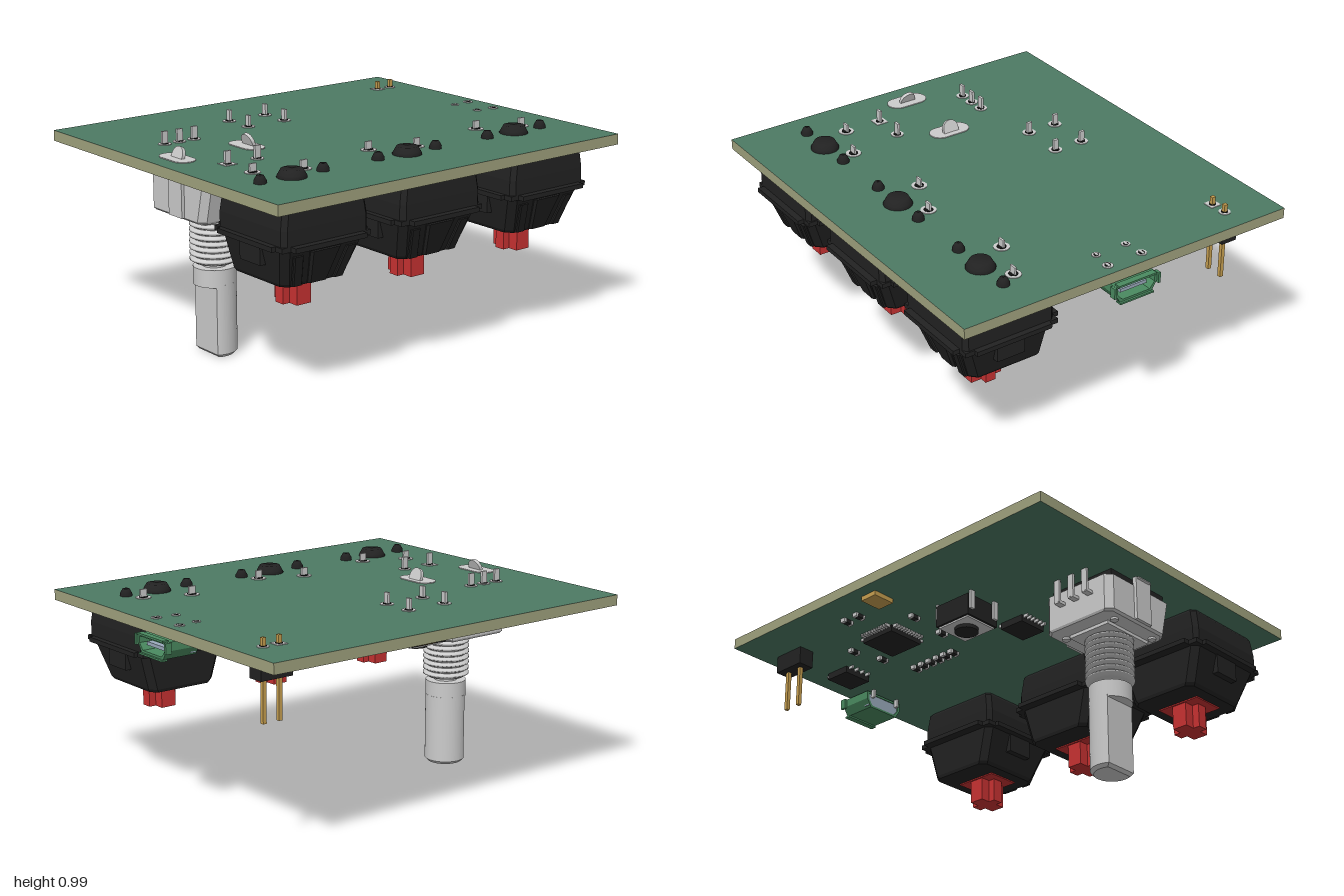
import * as THREE from 'three';

const mat = (color, opts = {}) => new THREE.MeshStandardMaterial({ color, ...opts });
const GREY = mat(0xcccccc), BLACK = mat(0x222222), RED = mat(0xc83232), GOLD = mat(0xc8a050);
const GREEN = mat(0x4d7a64), EDGE = mat(0xa0a27e), SHELL = mat(0x4a8a60), BLUE = mat(0x9aaabb), DARK = mat(0x111111);
const FLAT_BLACK = mat(0x222222, { flatShading: true });
const TOP = 0.93, UNDER = 0.88; // faces of the board

export function createModel() {
  const root = new THREE.Group();

  const add = (parent, name, geo, material, x = 0, y = 0, z = 0) => {
    const m = new THREE.Mesh(geo, material);
    m.name = name;
    m.position.set(x, y, z);
    parent.add(m);
    return m;
  };
  const group = (name, x = 0, z = 0) => {
    const g = new THREE.Group();
    g.name = name;
    g.position.set(x, 0, z);
    root.add(g);
    return g;
  };
  // box given by its centre in x, z and its range in y
  const box = (p, name, m, x, z, w, d, y0, y1) =>
    add(p, name, new THREE.BoxGeometry(w, y1 - y0, d), m, x, (y0 + y1) / 2, z);
  const cyl = (p, name, m, x, z, r, y0, y1, rTop = r, n = 24) =>
    add(p, name, new THREE.CylinderGeometry(rTop, r, y1 - y0, n), m, x, (y0 + y1) / 2, z);
  const lathe = (p, name, m, pts, n = 32) =>
    add(p, name, new THREE.LatheGeometry(pts.map(a => new THREE.Vector2(...a)), n), m);

  // loft of rectangles with cut corners: [y, x0, x1, z0, z1, cut], bottom to top
  const loft = (sections) => {
    const pos = [], idx = [];
    for (const [y, a, b, c, d, k] of sections)
      for (const [x, z] of [[b, d - k], [b, c + k], [b - k, c], [a + k, c], [a, c + k], [a, d - k], [a + k, d], [b - k, d]])
        pos.push(x, y, z);
    const last = (sections.length - 1) * 8;
    for (let s = 0; s < last; s += 8)
      for (let i = 0; i < 8; i++) {
        const j = (i + 1) % 8;
        idx.push(s + i, s + j, s + 8 + j, s + i, s + 8 + j, s + 8 + i);
      }
    for (let i = 1; i < 7; i++) idx.push(0, i + 1, i, last, last + i, last + i + 1);
    const g = new THREE.BufferGeometry();
    g.setAttribute('position', new THREE.Float32BufferAttribute(pos, 3));
    g.setIndex(idx);
    g.computeVertexNormals();
    return g;
  };

  // solder ring on the top face with a pin through it
  const joint = (p, x, z, r, pinW, pinD, y0, y1, m = GREY, square = false) => {
    if (square) box(p, 'solderPad', GREY, x, z, r * 2, r * 2, TOP - 0.01, TOP + 0.003);
    else cyl(p, 'solderPad', GREY, x, z, r, TOP - 0.01, TOP + 0.003);
    cyl(p, 'padHole', DARK, x, z, r * 0.6, TOP - 0.01, TOP + 0.005, r * 0.6, 16);
    box(p, 'pin', m, x, z, pinW, pinD, y0, y1);
  };

  // circuit board
  const board = new THREE.BoxGeometry(1.965, TOP - UNDER, 1.7);
  add(root, 'circuitBoard', board, [EDGE, EDGE, GREEN, GREEN, EDGE, EDGE], -0.0175, 0.905, 0);

  // three key switches hanging under the board
  for (const cx of [-0.68, -0.04, 0.61]) {
    const s = group('keySwitch', cx, 0.53);
    add(s, 'lowerHousing', loft([
      [0.7, -0.228, 0.228, -0.225, 0.235, 0.02], [0.78, -0.228, 0.228, -0.225, 0.235, 0.02],
      [0.865, -0.215, 0.215, -0.22, 0.23, 0.02], [0.88, -0.205, 0.205, -0.21, 0.22, 0.02]]), FLAT_BLACK);
    add(s, 'upperHousing', loft([
      [0.51, -0.165, 0.165, -0.205, 0.155, 0.03], [0.525, -0.175, 0.175, -0.21, 0.165, 0.03],
      [0.7, -0.222, 0.222, -0.22, 0.23, 0.03]]), FLAT_BLACK);
    // rim with clips on all four sides
    box(s, 'rim', BLACK, 0, 0, 0.47, 0.47, 0.69, 0.712);
    for (const k of [-1, 1]) {
      box(s, 'sideRim', BLACK, k * 0.235, 0, 0.04, 0.38, 0.69, 0.712);
      box(s, 'endRim', BLACK, 0, k * 0.247, 0.38, 0.04, 0.69, 0.712);
      box(s, 'sideClip', BLACK, k * 0.2, 0, 0.05, 0.14, 0.6, 0.7);
      add(s, 'frontRib', loft([
        [0.515, k * 0.11 - 0.025, k * 0.11 + 0.025, 0.1, 0.175, 0.005],
        [0.66, k * 0.14 - 0.025, k * 0.14 + 0.025, 0.1, 0.228, 0.005]]), FLAT_BLACK);
    }
    add(s, 'lightWindow', loft([
      [0.515, -0.05, 0.05, 0.1, 0.175, 0.01], [0.67, -0.08, 0.08, 0.1, 0.235, 0.01]]), FLAT_BLACK);
    // cross shaped stem on its slider
    box(s, 'slider', RED, 0, 0, 0.22, 0.17, 0.504, 0.53);
    box(s, 'stem', RED, 0, 0, 0.146, 0.052, 0.39, 0.52);
    box(s, 'stem', RED, 0, 0, 0.076, 0.155, 0.39, 0.52);
    // locating posts and contact pins above the board
    lathe(s, 'centrePost', BLACK, [[0.066, 0.86], [0.066, 0.935], [0.06, 0.945], [0.048, 0.967], [0, 0.967]]);
    for (const k of [-1, 1]) {
      const post = lathe(s, 'sidePost', BLACK, [[0.028, 0.86], [0.028, 0.942], [0.016, 0.964], [0, 0.964]], 20);
      post.position.x = k * 0.167;
    }
    joint(s, -0.083, -0.165, 0.036, 0.035, 0.01, 0.87, 0.97);
    joint(s, 0.125, -0.08, 0.036, 0.035, 0.01, 0.87, 0.97);
  }

  // rotary encoder
  const e = group('rotaryEncoder', -0.68, -0.04);
  add(e, 'encoderBody', loft([
    [0.66, -0.18, 0.18, -0.215, 0.17, 0.03], [0.67, -0.19, 0.19, -0.22, 0.175, 0.03],
    [0.84, -0.19, 0.19, -0.22, 0.215, 0.03]]), mat(0xcccccc, { flatShading: true }));
  box(e, 'encoderBase', BLACK, 0, 0, 0.34, 0.36, 0.83, UNDER);
  box(e, 'bodyStep', GREY, 0, 0, 0.22, 0.28, 0.645, 0.67);
  for (const k of [-1, 1]) {
    for (const z of [-0.13, 0.13]) cyl(e, 'rivet', GREY, k * 0.14, z, 0.018, 0.65, 0.67);
    // mounting lug: rounded blade through a slotted pad
    const slot = new THREE.Shape();
    slot.absarc(0, 0.05, 0.052, 0, Math.PI);
    slot.absarc(0, -0.05, 0.052, Math.PI, Math.PI * 2);
    const pad = add(e, 'lugPad', new THREE.ExtrudeGeometry(slot, { depth: 0.004, bevelEnabled: false }), GREY, k * 0.188, TOP);
    pad.rotation.x = -Math.PI / 2;
    const blade = new THREE.Shape();
    blade.moveTo(-0.04, 0);
    blade.lineTo(0.04, 0);
    blade.lineTo(0.04, 0.075);
    blade.absarc(0, 0.075, 0.04, 0, Math.PI);
    const lug = add(e, 'mountingLug', new THREE.ExtrudeGeometry(blade, { depth: 0.016, bevelEnabled: false }), GREY, k * 0.215, 0.875);
    lug.rotation.set(0, Math.PI / 2, k * 0.35, 'ZYX');
    box(e, 'lugStrap', GREY, k * 0.195, 0, 0.02, 0.1, 0.67, 0.9);
  }
  // bent contact legs
  for (const [x, side] of [[-0.08, -1], [0, -1], [0.08, -1], [-0.08, 1], [0.08, 1]]) {
    const z = side < 0 ? -0.255 : 0.222;
    joint(e, x, z, 0.03, 0.03, 0.012, 0.77, 0.99, GREY, side > 0 && x < 0);
    box(e, 'legFoot', GREY, x, z - side * 0.03, 0.03, 0.07, 0.765, 0.78);
  }
  // threaded bushing
  const thread = [[0, 0.43], [0.09, 0.43]];
  for (let i = 0; i < 8; i++) {
    const y = 0.435 + i * 0.027;
    thread.push([0.094, y], [0.111, y + 0.008], [0.111, y + 0.016], [0.094, y + 0.024]);
  }
  thread.push([0.105, 0.67]);
  lathe(e, 'threadedBushing', mat(0xcccccc, { side: THREE.DoubleSide }), thread);
  cyl(e, 'shaftNeck', GREY, 0, 0, 0.055, 0.4, 0.45);
  cyl(e, 'shaftCollar', GREY, 0, 0, 0.0975, 0.33, 0.412, 0.0975, 40);
  // shaft with one flat side
  const cut = Math.acos(-0.05 / 0.0975);
  const dShape = new THREE.Shape();
  dShape.absarc(0, 0, 0.0975, -cut, cut);
  dShape.closePath();
  const shaft = new THREE.ExtrudeGeometry(dShape, {
    depth: 0.325, bevelThickness: 0.015, bevelSize: 0.015, bevelOffset: -0.015, bevelSegments: 1, curveSegments: 32 });
  add(e, 'shaft', shaft, GREY, 0, 0.34, 0).rotation.x = Math.PI / 2;

  // push button
  const b = group('pushButton', -0.155, -0.415);
  box(b, 'buttonBody', BLACK, 0, 0, 0.2, 0.19, 0.76, 0.865);
  box(b, 'buttonCover', GREY, 0, 0, 0.18, 0.17, 0.752, 0.765);
  cyl(b, 'buttonCap', BLACK, 0, 0, 0.055, 0.735, 0.77);
  for (const x of [-0.105, 0.105]) for (const z of [-0.075, 0.075])
    joint(b, x, z, 0.032, 0.014, 0.025, 0.79, 0.985);

  // two pin header
  const h = group('pinHeader', 0.8, -0.61);
  box(h, 'headerBase', BLACK, 0, 0, 0.165, 0.08, 0.795, UNDER);
  for (const k of [-1, 1]) joint(h, k * 0.041, 0, 0.027, 0.018, 0.018, 0.6, 0.97, GOLD, k < 0);

  // micro socket on the board edge
  const u = group('socket', 0.82, -0.005);
  const outline = (s, w, top, low) => {
    s.moveTo(-w, top);
    s.lineTo(-w, (top + low) / 2);
    s.lineTo(-w + 0.025, low);
    s.lineTo(w - 0.025, low);
    s.lineTo(w, (top + low) / 2);
    s.lineTo(w, top);
    s.closePath();
    return s;
  };
  const shell = outline(new THREE.Shape(), 0.11, 0.87, 0.79);
  shell.holes.push(outline(new THREE.Path(), 0.098, 0.86, 0.8));
  add(u, 'socketShell', new THREE.ExtrudeGeometry(shell, { depth: 0.17, bevelEnabled: false }), SHELL).rotation.y = Math.PI / 2;
  box(u, 'socketBack', BLUE, 0.02, 0, 0.03, 0.19, 0.8, 0.86);
  box(u, 'socketTongue', BLUE, 0.08, 0, 0.14, 0.14, 0.822, 0.838);
  box(u, 'flaredLip', SHELL, 0.165, 0, 0.03, 0.18, 0.782, 0.79);
  box(u, 'flaredLip', SHELL, 0.165, 0, 0.03, 0.2, 0.868, 0.877);
  for (const k of [-1, 1]) {
    box(u, 'flaredLip', SHELL, 0.165, k * 0.117, 0.03, 0.012, 0.82, 0.87);
    joint(u, -0.01, k * 0.079, 0.02, 0.02, 0.012, 0.84, TOP + 0.006);
    joint(u, 0.085, k * 0.09, 0.024, 0.03, 0.012, 0.84, TOP + 0.006);
  }

  // flat chips with legs on some sides: x, z, width, depth, legs per side, all four sides
  const chips = [[0.33, -0.42, 0.19, 0.19, 11, true], [0.77, -0.29, 0.13, 0.15, 4, false], [-0.21, -0.1, 0.13, 0.15, 6, false]];
  for (const [x, z, w, d, n, all] of chips) {
    const c = group('chip', x, z);
    box(c, 'chipBody', BLACK, 0, 0, w, d, 0.845, 0.877);
    for (let i = 0; i < n; i++) for (const k of [-1, 1]) {
      const t = (i + 0.5) / n - 0.5;
      box(c, 'chipLeg', GREY, k * (w / 2 + 0.01), t * d * 0.95, 0.03, 0.008, 0.866, UNDER);
      if (all) box(c, 'chipLeg', GREY, t * w * 0.95, k * (d / 2 + 0.01), 0.008, 0.03, 0.866, UNDER);
    }
  }

  // small crystal and rows of tiny parts
  box(root, 'crystal', GOLD, 0.1, -0.735, 0.09, 0.11, 0.858, UNDER);
  const tiny = [[0.28, -0.68], [0.36, -0.68], [0.52, -0.3], [0.56, -0.45], [0.12, -0.3], [0.1, -0.5]];
  for (let i = 0; i < 6; i++) tiny.push([0.22 + i * 0.05, -0.12]);
  for (const [x, z] of tiny) {
    box(root, 'tinyPart', BLACK, x, z, 0.025, 0.035, 0.862, UNDER);
    for (const k of [-1, 1]) box(root, 'tinyPartEnd', GREY, x, z + k * 0.022, 0.026, 0.012, 0.861, UNDER);
  }
  return root;
}
